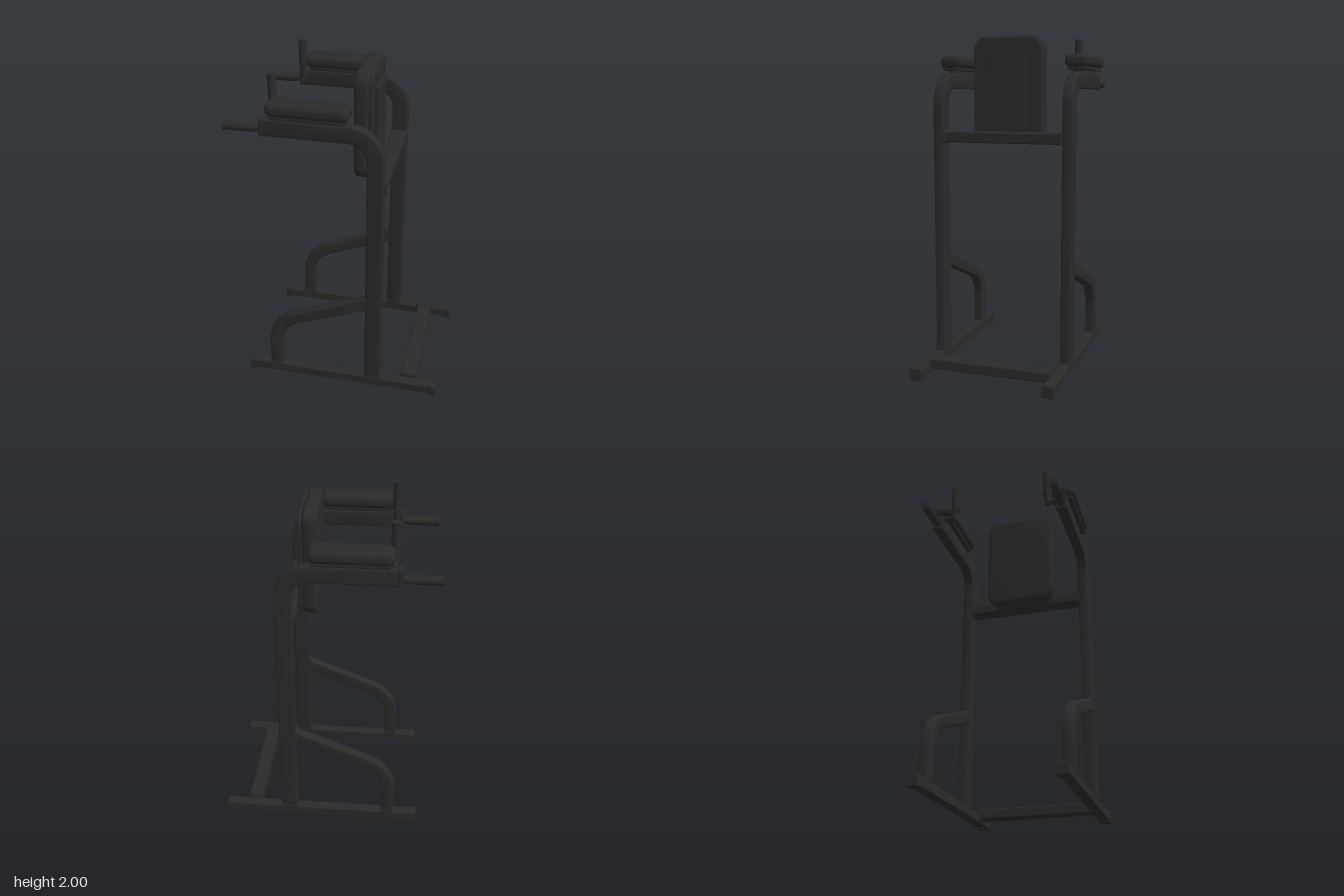
import * as THREE from 'three';
import { toCreasedNormals } from 'three/addons/utils/BufferGeometryUtils.js';
import { RoundedBoxGeometry } from 'three/addons/geometries/RoundedBoxGeometry.js';

const black = new THREE.MeshStandardMaterial({ color: 0x2a2a2a });
black.name = 'satin black';

function add(parent, name, geometry, x = 0, y = 0, z = 0) {
  const mesh = new THREE.Mesh(geometry, black);
  mesh.name = name;
  mesh.position.set(x, y, z);
  parent.add(mesh);
  return mesh;
}

// Rounded box given by its limits on each axis
function box(parent, name, [x0, x1], [y0, y1], [z0, z1], r = 0.008) {
  const geometry = new RoundedBoxGeometry(x1 - x0, y1 - y0, z1 - z0, 2, r);
  return add(parent, name, geometry, (x0 + x1) / 2, (y0 + y1) / 2, (z0 + z1) / 2);
}

// Extrusion centred on z, with rounded edges kept inside the outline
function slab(shape, depth, bevel, segments = 3) {
  const geometry = new THREE.ExtrudeGeometry(shape, {
    depth: depth - 2 * bevel, bevelThickness: bevel, bevelSize: bevel,
    bevelOffset: -bevel, bevelSegments: segments, curveSegments: 8,
  });
  geometry.translate(0, 0, -depth / 2 + bevel);
  return toCreasedNormals(geometry, 0.6);
}

// Flat-sided tube following a bend: straight, arc about a centre, straight
function bentTube(start, centre, radius, a0, a1, end, width, depth) {
  const path = [{ p: start, a: a0 }];
  for (let i = 0; i <= 14; i++) {
    const a = a0 + (a1 - a0) * i / 14;
    path.push({ p: [centre[0] + radius * Math.cos(a), centre[1] + radius * Math.sin(a)], a });
  }
  path.push({ p: end, a: a1 });
  const side = (s) => path.map(({ p, a }) => new THREE.Vector2(
    p[0] + s * Math.cos(a) * width / 2, p[1] + s * Math.sin(a) * width / 2));
  return slab(new THREE.Shape([...side(1), ...side(-1).reverse()]), depth, 0.01);
}

function roundedRect(w, h, r) {
  const s = new THREE.Shape();
  const x = w / 2, y = h / 2;
  s.absarc(x - r, y - r, r, 0, Math.PI / 2);
  s.absarc(-x + r, y - r, r, Math.PI / 2, Math.PI);
  s.absarc(-x + r, -y + r, r, Math.PI, Math.PI * 1.5);
  s.absarc(x - r, -y + r, r, Math.PI * 1.5, Math.PI * 2);
  s.closePath();
  return s;
}

function rod(parent, name, radius, length, x, y, z, axis) {
  const mesh = add(parent, name, new THREE.CylinderGeometry(radius, radius, length, 20), x, y, z);
  if (axis === 'x') mesh.rotation.z = Math.PI / 2;
  if (axis === 'z') mesh.rotation.x = Math.PI / 2;
  return mesh;
}

function sideFrame(s) {
  const g = new THREE.Group();
  g.name = s > 0 ? 'frontSideFrame' : 'backSideFrame';
  const Z = 0.4 * s;
  const around = (half) => [Z - half, Z + half];

  // Floor rail and end caps
  box(g, 'floorRail', [-0.58, 0.62], [0.01, 0.07], around(0.032));
  box(g, 'railCap', [-0.59, -0.54], [0, 0.073], around(0.037));
  box(g, 'railCap', [0.58, 0.63], [0, 0.073], around(0.037));

  // Post bending forward into the arm
  add(g, 'postAndArm', bentTube([0.22, 0.06], [0.07, 1.585], 0.15, 0, Math.PI / 2,
    [-0.41, 1.735], 0.098, 0.064), 0, 0, Z);
  box(g, 'postCollar', [0.165, 0.275], [0.062, 0.082], around(0.036), 0.004);
  box(g, 'armCap', [-0.425, -0.4], [1.683, 1.787], around(0.035));

  // Curved brace
  const slope = Math.atan(0.407);
  add(g, 'brace', bentTube([-0.407, 0.06], [-0.18, 0.247], 0.227, Math.PI, Math.PI / 2 + slope,
    [0.19, 0.643], 0.076, 0.062), 0, 0, Z);
  box(g, 'braceFoot', [-0.449, -0.365], [0.062, 0.082], around(0.035), 0.004);
  box(g, 'braceCollar', [0.163, 0.18], [0.59, 0.675], around(0.036), 0.004);

  // Dip handle
  rod(g, 'dipHandleBar', 0.02, 0.1, -0.45, 1.72, Z, 'x');
  rod(g, 'dipHandleGrip', 0.026, 0.18, -0.548, 1.72, Z, 'x');

  // Upright grip on its bent bar
  rod(g, 'gripBar', 0.017, 0.1, -0.378, 1.777, 0.345 * s, 'z');
  rod(g, 'gripStem', 0.018, 0.1, -0.378, 1.812, 0.306 * s);
  rod(g, 'uprightGrip', 0.025, 0.17, -0.378, 1.915, 0.302 * s);

  // Arm pad on its plate
  box(g, 'padBracket', [-0.34, 0.04], [1.778, 1.8], around(0.025), 0.003);
  box(g, 'padPlate', [-0.355, 0.06], [1.797, 1.818], around(0.055), 0.005);
  const pad = add(g, 'armPad', slab(roundedRect(0.46, 0.15, 0.04), 0.075, 0.03, 4), -0.15, 1.852, 0.398 * s);
  pad.rotation.x = -Math.PI / 2;

  // Collars where the cross bars meet this side
  const inner = [0.37 * s, 0.358 * s].sort((a, b) => a - b);
  box(g, 'crossBarCollar', [0.165, 0.276], [1.362, 1.438], inner, 0.004);
  box(g, 'floorBarCollar', [0.39, 0.5], [0.02, 0.098], inner, 0.004);
  return g;
}

export function createModel() {
  const model = new THREE.Group();
  model.name = 'dipStation';
  model.add(sideFrame(1), sideFrame(-1));

  // Bars joining the two sides
  box(model, 'backCrossBar', [0.17, 0.27], [1.368, 1.434], [-0.375, 0.375], 0.01);
  box(model, 'floorCrossBar', [0.4, 0.492], [0.028, 0.092], [-0.375, 0.375], 0.01);

  // Backrest: cushion, board and mounting plate
  const cushion = add(model, 'backCushion', slab(roundedRect(0.444, 0.64, 0.08), 0.085, 0.025, 4), 0.093, 1.68, 0);
  cushion.rotation.y = Math.PI / 2;
  const board = add(model, 'backBoard', slab(roundedRect(0.42, 0.62, 0.07), 0.018, 0.003, 1), 0.145, 1.675, 0);
  board.rotation.y = Math.PI / 2;
  box(model, 'mountingPlate', [0.152, 0.172], [1.37, 1.89], [-0.12, 0.12], 0.003);
  return model;
}
